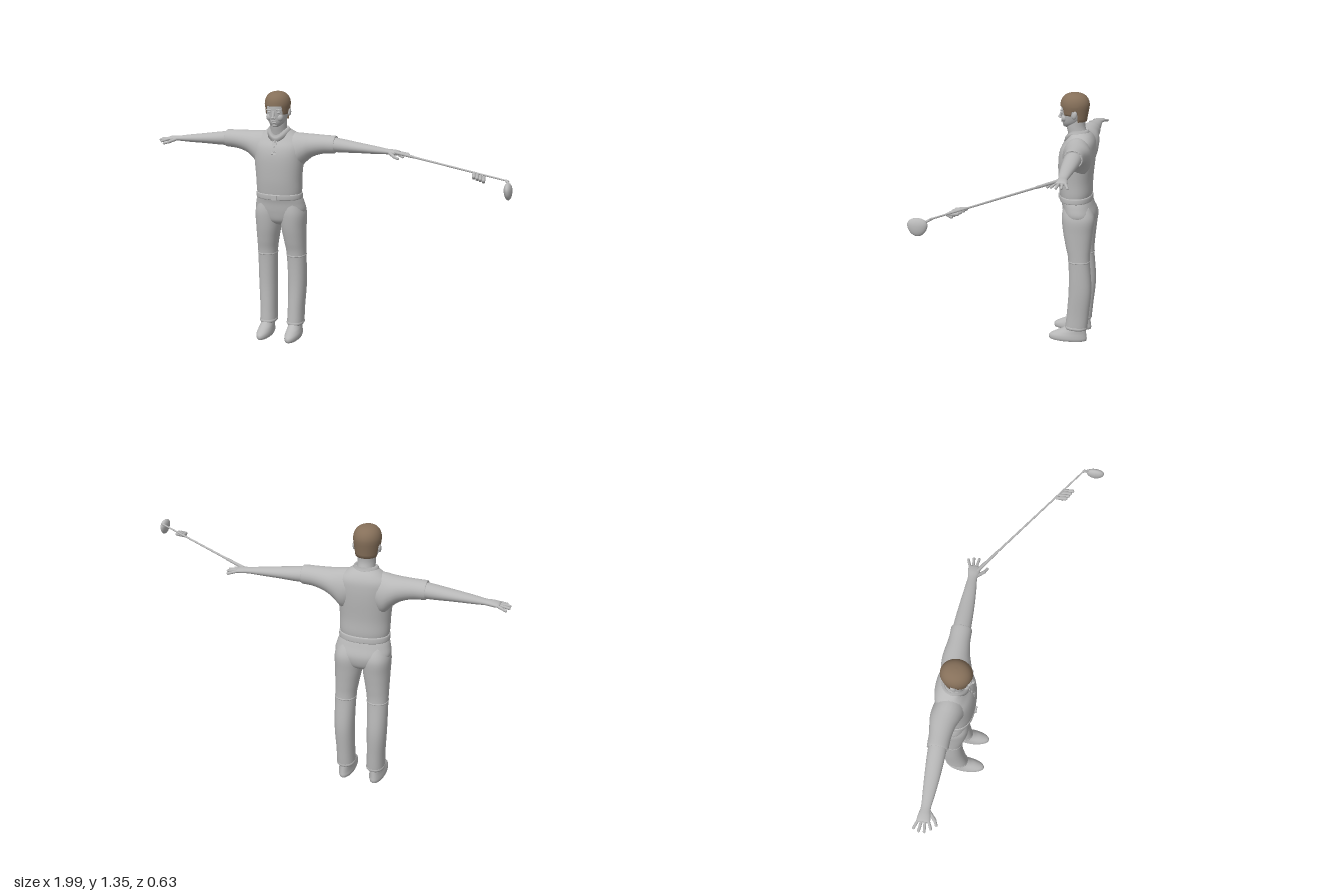
import * as THREE from 'three';

const CX = -0.304; // the figure's own centre line
const grey = new THREE.MeshStandardMaterial({ color: 0xb8b8b8 });
grey.name = 'plain grey';
const brown = new THREE.MeshStandardMaterial({ color: 0x86705a });
brown.name = 'hair brown';

// Closed-around surface from a point rule p(ring, angle)
function skin(rings, sides, rule) {
  const pos = [], idx = [];
  for (let j = 0; j < rings; j++)
    for (let i = 0; i < sides; i++) {
      pos.push(...rule(j, (i / sides) * Math.PI * 2));
      if (j === rings - 1) continue;
      const a = j * sides + i, b = j * sides + ((i + 1) % sides);
      idx.push(a, a + sides, b, b, a + sides, b + sides);
    }
  const g = new THREE.BufferGeometry();
  g.setAttribute('position', new THREE.Float32BufferAttribute(pos, 3));
  g.setIndex(idx);
  g.computeVertexNormals();
  return g;
}

// Smoothly interpolated cross-section rows, with closed ends
function smoothRows(rows, steps = 5) {
  const out = [];
  const at = (i) => rows[Math.min(rows.length - 1, Math.max(0, i))];
  for (let i = 0; i < rows.length - 1; i++)
    for (let s = 0; s < steps; s++) {
      const t = s / steps;
      out.push(at(i).map((p1, k) => {
        const p0 = at(i - 1)[k], p2 = at(i + 1)[k], p3 = at(i + 2)[k];
        return p1 + 0.5 * t * (p2 - p0 + t * (2 * p0 - 5 * p1 + 4 * p2 - p3 + t * (3 * (p1 - p2) + p3 - p0)));
      }));
    }
  out.push(at(rows.length - 1));
  const cap = (r) => [r[0], r[1], r[2], 0, 0];
  return [cap(out[0]), ...out, cap(out[out.length - 1])];
}

const soft = (v, p) => Math.sign(v) * Math.abs(v) ** p;

// Upright loft: rows of [y, x offset, z, half width, half depth]
function upright(rows, side = 1, p = 0.9) {
  const r = smoothRows(rows);
  return skin(r.length, 32, (j, a) => [
    CX + side * r[j][1] + r[j][3] * soft(Math.cos(a), p), r[j][0], r[j][2] + r[j][4] * soft(Math.sin(a), p)]);
}

// Sideways loft: rows of [x offset, y, z, half height, half depth]
function sideways(rows, side) {
  const r = smoothRows(rows);
  return skin(r.length, 24, (j, a) => [
    CX + side * r[j][0], r[j][1] + r[j][3] * Math.sin(a), r[j][2] + side * r[j][4] * Math.cos(a)]);
}

export function createModel() {
  const model = new THREE.Group();
  model.name = 'golfer';
  const add = (name, geo, mat = grey) => {
    const m = new THREE.Mesh(geo, mat);
    m.name = name;
    model.add(m);
    return m;
  };
  const blob = (name, x, y, z, rx, ry, rz, mat) => {
    const m = add(name, new THREE.SphereGeometry(1, 20, 14), mat);
    m.position.set(x, y, z);
    m.scale.set(rx, ry, rz);
    return m;
  };
  const rod = (name, from, to, r0, r1 = r0, round = false) => {
    const a = new THREE.Vector3(...from), b = new THREE.Vector3(...to), d = b.clone().sub(a);
    const m = add(name, round ? new THREE.CapsuleGeometry(r0, d.length(), 5, 10)
      : new THREE.CylinderGeometry(r1, r0, d.length(), 12));
    m.position.copy(a).add(b).multiplyScalar(0.5);
    m.quaternion.setFromUnitVectors(new THREE.Vector3(0, 1, 0), d.normalize());
    return m;
  };

  // Shirt body, belt and hips
  add('shirtBody', upright([
    [0.795, 0, -0.204, 0.118, 0.08], [0.83, 0, -0.204, 0.123, 0.086], [0.9, 0, -0.201, 0.125, 0.09],
    [1.0, 0, -0.205, 0.134, 0.095], [1.06, 0, -0.212, 0.138, 0.09], [1.1, 0, -0.222, 0.125, 0.076],
    [1.13, 0, -0.223, 0.09, 0.06], [1.15, 0, -0.215, 0.055, 0.046]]));
  add('belt', upright([[0.782, 0, -0.206, 0.122, 0.084], [0.787, 0, -0.206, 0.126, 0.087],
    [0.808, 0, -0.205, 0.125, 0.087], [0.813, 0, -0.205, 0.12, 0.083]]));
  add('hips', upright([[0.635, 0, -0.228, 0.05, 0.045], [0.66, 0, -0.228, 0.1, 0.075],
    [0.71, 0, -0.227, 0.137, 0.087], [0.76, 0, -0.216, 0.131, 0.083], [0.79, 0, -0.207, 0.121, 0.082]]));
  add('buckle', new THREE.BoxGeometry(0.03, 0.024, 0.01)).position.set(CX, 0.797, -0.116);

  // Collar, placket and buttons
  add('collar', skin(5, 32, (j, a) => {
    const [r, h] = [[0.047, 0.0], [0.066, -0.005], [0.061, 0.018], [0.052, 0.03], [0.045, 0.012]][j];
    const front = Math.max(0, Math.sin(a)) ** 3;
    return [CX + r * Math.cos(a), 1.132 + h - 0.035 * front, -0.208 + r * 0.95 * Math.sin(a) + 0.008 * front];
  })).material = grey;
  const placket = add('placket', new THREE.BoxGeometry(0.024, 0.09, 0.008));
  placket.position.set(CX, 1.07, -0.132);
  placket.rotation.x = -0.4;
  for (let i = 0; i < 3; i++) blob('button', CX, 1.045 + i * 0.025, -0.117 - i * 0.0105, 0.005, 0.005, 0.004);

  // Limbs, mirrored
  for (const s of [-1, 1]) {
    const X = (d) => CX + s * d;
    add('sleeve', sideways([[0.02, 1.06, -0.215, 0.07, 0.06], [0.09, 1.032, -0.22, 0.102, 0.076],
      [0.14, 1.053, -0.228, 0.077, 0.072], [0.18, 1.068, -0.232, 0.06, 0.063],
      [0.24, 1.077, -0.232, 0.049, 0.053], [0.298, 1.079, -0.232, 0.046, 0.051], [0.302, 1.079, -0.232, 0.043, 0.048]], s));
    add('arm', sideways([[0.28, 1.079, -0.232, 0.038, 0.043], [0.33, 1.076, -0.232, 0.036, 0.043],
      [0.43, 1.07, -0.231, 0.027, 0.037], [0.52, 1.064, -0.231, 0.02, 0.029],
      [0.58, 1.06, -0.232, 0.014, 0.023], [0.615, 1.058, -0.232, 0.014, 0.029],
      [0.64, 1.056, -0.232, 0.011, 0.031], [0.648, 1.055, -0.232, 0.006, 0.027]], s));
    // Spread fingers and thumb
    for (let f = 0; f < 4; f++) {
      const k = f - 1.5, end = [0.68, 0.69, 0.69, 0.672][f];
      rod('finger', [X(0.636), 1.056, -0.232 + k * 0.0145], [X(end), 1.05 - Math.abs(k) * 0.003, -0.232 + k * 0.026], 0.0068, 0, true);
    }
    rod('thumb', [X(0.598), 1.056, -0.212], [X(0.63), 1.044, -0.182], 0.0085, 0, true);
    rod('thumbTip', [X(0.63), 1.044, -0.182], [X(0.65), 1.039, -0.172], 0.0068, 0, true);

    // Trouser leg with knee seam and hem, then shoe
    add('trouserLeg', upright([[0.07, 0.078, -0.228, 0.041, 0.056], [0.075, 0.078, -0.228, 0.045, 0.06],
      [0.16, 0.08, -0.236, 0.045, 0.06], [0.3, 0.084, -0.246, 0.049, 0.061], [0.46, 0.082, -0.238, 0.052, 0.057],
      [0.54, 0.077, -0.232, 0.058, 0.067], [0.62, 0.071, -0.228, 0.066, 0.079],
      [0.7, 0.069, -0.227, 0.069, 0.086], [0.76, 0.062, -0.217, 0.055, 0.07]], s));
    add('kneeSeam', upright([[0.455, 0.082, -0.238, 0.05, 0.056], [0.458, 0.082, -0.238, 0.0535, 0.0585],
      [0.463, 0.082, -0.238, 0.0535, 0.0585], [0.466, 0.082, -0.238, 0.05, 0.056]], s));
    add('hem', upright([[0.068, 0.078, -0.228, 0.044, 0.058], [0.073, 0.078, -0.228, 0.047, 0.061],
      [0.08, 0.078, -0.228, 0.047, 0.061], [0.086, 0.078, -0.228, 0.044, 0.059]], s));
    add('shoe', upright([[0.0, 0.081, -0.183, 0.037, 0.101], [0.012, 0.081, -0.182, 0.041, 0.105],
      [0.028, 0.081, -0.184, 0.04, 0.101], [0.045, 0.08, -0.198, 0.037, 0.085],
      [0.062, 0.079, -0.215, 0.035, 0.066], [0.085, 0.078, -0.228, 0.033, 0.05]], s, 1));

    // Paired face parts
    blob('ear', X(0.062), 1.245, -0.198, 0.008, 0.021, 0.013).rotation.x = -0.2;
    blob('eye', X(0.024), 1.25, -0.129, 0.011, 0.006, 0.007);
    blob('brow', X(0.025), 1.263, -0.126, 0.018, 0.005, 0.007);
    blob('cheek', X(0.028), 1.222, -0.141, 0.018, 0.02, 0.016);
    blob('nostril', X(0.007), 1.221, -0.115, 0.006, 0.005, 0.007);
  }

  // Neck, head and face
  add('neck', upright([[1.1, 0, -0.215, 0.055, 0.05], [1.14, 0, -0.206, 0.045, 0.05],
    [1.18, 0, -0.197, 0.043, 0.049], [1.22, 0, -0.2, 0.043, 0.05]], 1, 1));
  add('head', upright([[1.171, 0, -0.156, 0.014, 0.016], [1.18, 0, -0.163, 0.029, 0.03],
    [1.2, 0, -0.175, 0.045, 0.05], [1.235, 0, -0.184, 0.056, 0.063], [1.28, 0, -0.188, 0.061, 0.068],
    [1.31, 0, -0.19, 0.056, 0.064], [1.335, 0, -0.19, 0.036, 0.043], [1.342, 0, -0.19, 0.01, 0.01]], 1, 1));
  rod('noseBridge', [CX, 1.255, -0.124], [CX, 1.226, -0.113], 0.0065, 0, true);
  blob('noseTip', CX, 1.224, -0.112, 0.008, 0.007, 0.008);
  blob('upperLip', CX, 1.204, -0.126, 0.017, 0.004, 0.007);
  blob('lowerLip', CX, 1.197, -0.128, 0.014, 0.004, 0.007);
  blob('chin', CX, 1.181, -0.142, 0.016, 0.011, 0.013);

  // Hair shell: fringe, sideburns, ear gap and nape set by the angle
  add('hair', skin(16, 64, (j, a) => {
    const c = Math.sin(a);
    const edge = c > 0.72 ? 1.282 : c > 0.12 ? 1.238 : c > -0.3 ? 1.262 : 1.205;
    const t = Math.max(0, j - 1) / 14, low = 1.285;
    const turn = t < 0.35 ? 0 : ((t - 0.35) / 0.65) * Math.PI / 2;
    const y = t < 0.35 ? edge + (low - edge) * (t / 0.35) : low + 0.066 * Math.sin(turn) ** 0.9;
    let r = t < 0.35 ? 1 - 2.2 * (low - y) : Math.max(0, Math.cos(turn)) ** 0.8;
    if (j === 0) r *= 0.82;
    return [CX + 0.067 * r * Math.cos(a), y, -0.191 + 0.076 * r * c];
  }), brown);

  // Golf club: grip, shaft and rounded head
  rod('clubGrip', [0.315, 1.062, -0.217], [0.435, 1.061, -0.137], 0.0085, 0.007);
  rod('clubShaft', [0.43, 1.061, -0.14], [0.968, 1.057, 0.222], 0.0055, 0.004);
  rod('clubNeck', [0.955, 1.057, 0.213], [0.972, 1.046, 0.238], 0.006, 0.006);
  const clubHead = new THREE.SphereGeometry(1, 28, 18);
  const p = clubHead.attributes.position;
  for (let i = 0; i < p.count; i++) {
    const y = p.getY(i);
    p.setXYZ(i, p.getX(i) * 0.019, y * (y > 0 ? 0.034 : 0.046), p.getZ(i) * (0.045 + 0.005 * y));
  }
  clubHead.computeVertexNormals();
  const headMesh = add('clubHead', clubHead);
  headMesh.position.set(0.974, 1.027, 0.275);
  headMesh.rotation.z = 0.1;

  // Loose curled fingers gripping the shaft
  for (let f = 0; f < 4; f++) {
    const x = 0.787 + f * 0.017, z = 0.128 + f * 0.009, y = 1.054 - f * 0.003;
    rod('gripFinger', [x, y, z - 0.02], [x + 0.006, y - 0.004, z + 0.022], 0.009, 0, true);
    rod('gripFingerTip', [x + 0.006, y - 0.004, z + 0.022], [x + 0.004, y - 0.014, z + 0.006], 0.008, 0, true);
  }
  return model;
}
